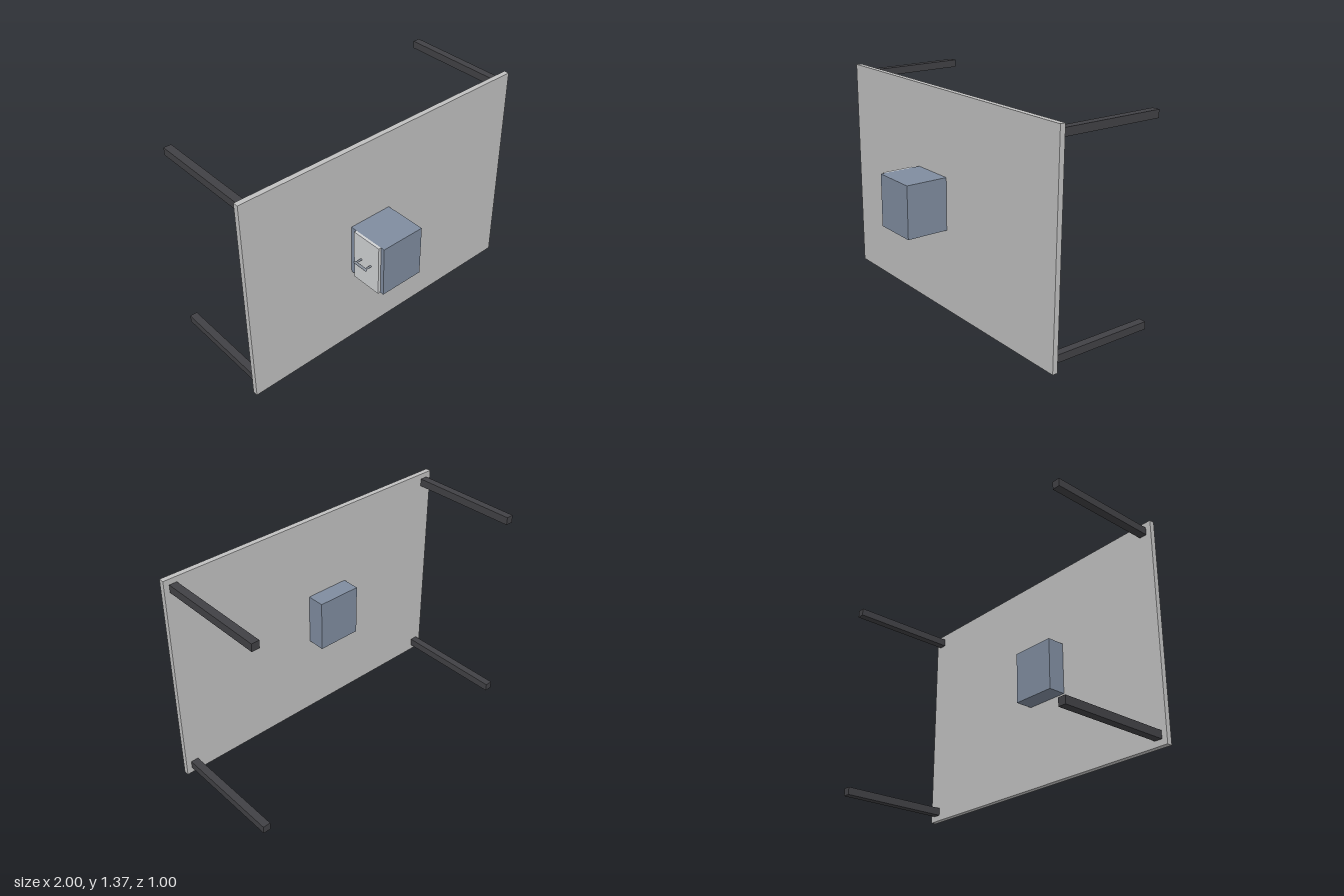
import * as THREE from 'three';

function material(name, color) {
  const m = new THREE.MeshStandardMaterial({ color });
  m.name = name;
  return m;
}

export function createModel() {
  const group = new THREE.Group();
  const panelGrey = material('panelGrey', 0xc0c0c0);
  const charcoal = material('charcoal', 0x414145);
  const slateBlue = material('slateBlue', 0x7f8c9f);
  const paleGrey = material('paleGrey', 0xd0d2d4);
  const steel = material('steel', 0x858c96);

  const add = (name, geometry, mat, x, y, z, parent = group) => {
    const mesh = new THREE.Mesh(geometry, mat);
    mesh.name = name;
    mesh.position.set(x, y, z);
    parent.add(mesh);
    return mesh;
  };
  // Box given by its lower and upper corners
  const box = (name, mat, [x0, y0, z0], [x1, y1, z1]) =>
    add(name, new THREE.BoxGeometry(x1 - x0, y1 - y0, z1 - z0), mat,
      (x0 + x1) / 2, (y0 + y1) / 2, (z0 + z1) / 2);

  // Upright slab
  box('tabletop', panelGrey, [-1, 0, 0.197], [1, 1.367, 0.23]);

  // Four legs reaching backwards
  for (const x of [-0.942, 0.942])
    for (const y of [0.06, 1.309])
      box('leg', charcoal, [x - 0.024, y - 0.024, -0.5], [x + 0.024, y + 0.024, 0.197]);

  // Cabinet passing through the slab, with a door plate on its right side
  box('cabinet', slateBlue, [-0.267, 0.521, 0.083], [0.022, 0.85, 0.5]);
  box('drawerFront', paleGrey, [-0.284, 0.521, 0.272], [-0.267, 0.85, 0.475]);

  // Pull handle: two posts and a rounded grip
  const handle = new THREE.Group();
  handle.name = 'handle';
  group.add(handle);
  for (const z of [0.332, 0.411]) {
    const post = add('handlePost', new THREE.CylinderGeometry(0.006, 0.006, 0.042, 16), steel, -0.305, 0.686, z, handle);
    post.rotation.z = Math.PI / 2;
  }
  const grip = add('handleGrip', new THREE.CapsuleGeometry(0.008, 0.09, 6, 16), steel, -0.326, 0.686, 0.3715, handle);
  grip.rotation.x = Math.PI / 2;

  return group;
}
